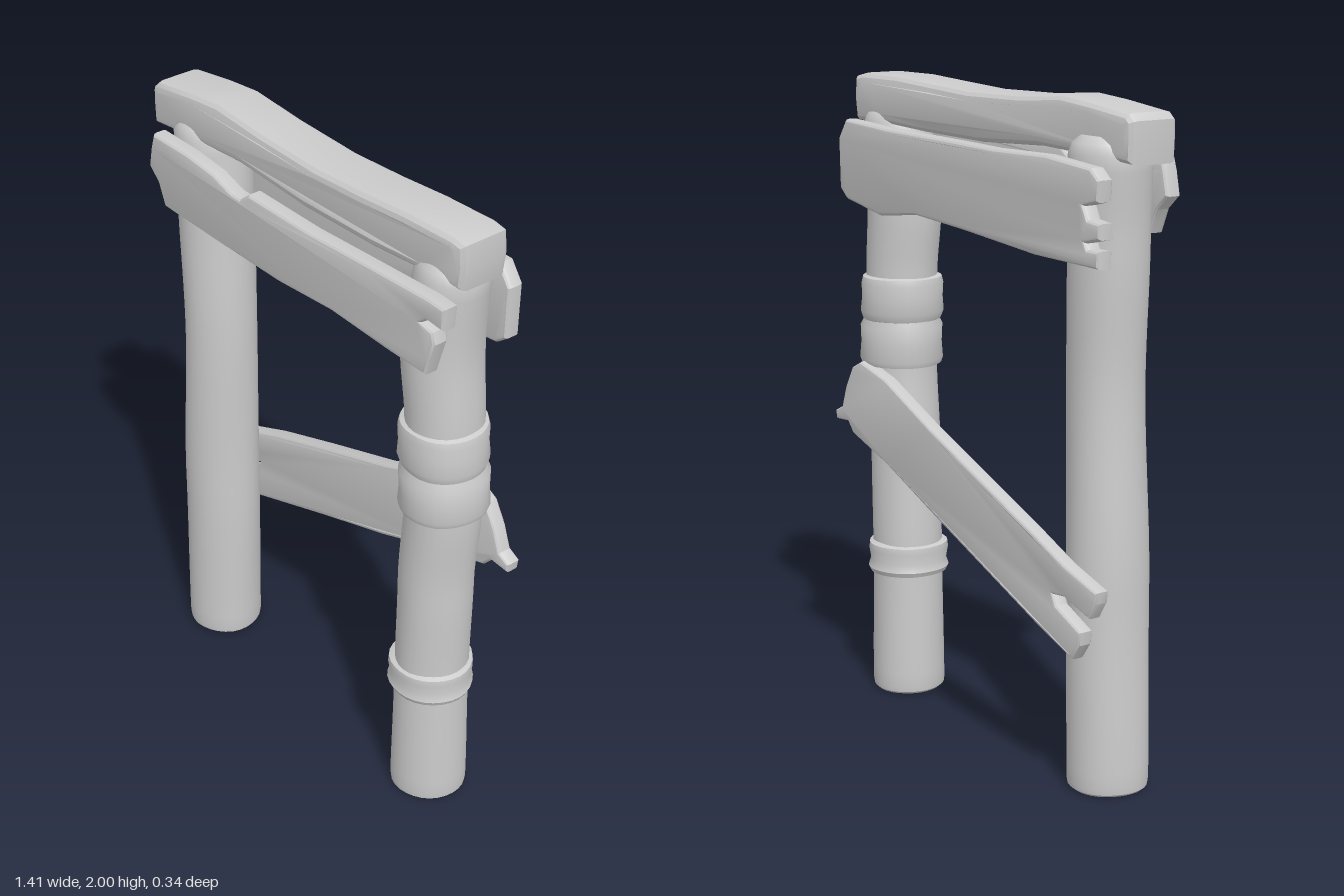
import * as THREE from 'three';
import { mergeVertices, toCreasedNormals } from 'three/addons/utils/BufferGeometryUtils.js';

const material = new THREE.MeshStandardMaterial({ color: 0xcccccc, side: THREE.DoubleSide });

function mesh(name, geometry, crease) {
  const m = new THREE.Mesh(toCreasedNormals(geometry, crease), material);
  m.name = name;
  return m;
}

// Smooth value at height y from rows of [y, x, z, r]
function sample(rows, y, k) {
  let i = 0;
  while (i < rows.length - 2 && y > rows[i + 1][0]) i++;
  const a = rows[i], b = rows[i + 1];
  return THREE.MathUtils.lerp(a[k], b[k], THREE.MathUtils.smoothstep(y, a[0], b[0]));
}

// Turned solid whose axis follows the rows and whose skin is slightly uneven
function turned(name, profile, rows, wobble, seed) {
  let g = new THREE.LatheGeometry(profile.map(([r, y]) => new THREE.Vector2(r, y)), 28);
  g.deleteAttribute('uv');
  g.deleteAttribute('normal');
  const p = g.attributes.position;
  for (let i = 0; i < p.count; i++) {
    const x = p.getX(i), y = p.getY(i), z = p.getZ(i);
    const a = Math.atan2(z, x);
    const s = 1 + wobble * (Math.sin(3 * a + seed + 2 * y) + 0.6 * Math.sin(5 * a - seed + 5 * y));
    p.setXYZ(i, x * s + sample(rows, y, 1), y, z * s + sample(rows, y, 2));
  }
  g = mergeVertices(g, 1e-4);
  return mesh(name, g, 0.7);
}

// Round post with softened ends
function post(name, rows, seed) {
  const top = rows[rows.length - 1][0], r0 = rows[0][3], r1 = rows[rows.length - 1][3];
  const profile = [[0, 0], [r0 * 0.9, 0], [r0 * 0.98, 0.008]];
  for (let i = 0; i <= 40; i++) {
    const y = 0.025 + (top - 0.075) * i / 40;
    profile.push([sample(rows, y, 3), y]);
  }
  profile.push([r1 * 0.9, top - 0.02], [r1 * 0.7, top], [0, top]);
  return turned(name, profile, rows, 0.012, seed);
}

// Board cut to an outline, with worn edges; its middle runs from z0 (x = -0.7) to z1 (x = 0.7)
function board(name, outline, thickness, bevel, z0, z1, tilt = 0) {
  const g = new THREE.ExtrudeGeometry(new THREE.Shape(outline.map(([x, y]) => new THREE.Vector2(x, y))), {
    depth: thickness - 2 * bevel, bevelEnabled: true, bevelThickness: bevel,
    bevelSize: bevel, bevelOffset: -bevel, bevelSegments: 3,
  });
  g.translate(0, 0, bevel - thickness / 2);
  const p = g.attributes.position;
  for (let i = 0; i < p.count; i++) {
    const t = (p.getX(i) + 0.7) / 1.4;
    p.setZ(i, p.getZ(i) + THREE.MathUtils.lerp(z0, z1, t) + tilt * Math.sin(t * 7));
  }
  return mesh(name, g, 0.45);
}

export function createModel() {
  const group = new THREE.Group();

  // Posts: height, centre x, centre z, radius
  const rightRows = [[0, -0.545, 0.01, 0.12], [0.6, -0.53, 0.012, 0.12], [1.2, -0.512, 0.015, 0.112],
    [1.6, -0.525, 0.01, 0.116], [1.9, -0.54, 0.0, 0.118]];
  const leftRows = [[0, 0.5, 0.01, 0.117], [0.45, 0.5, 0.012, 0.112], [0.8, 0.51, 0.015, 0.112],
    [1.1, 0.53, 0.015, 0.113], [1.35, 0.52, 0.012, 0.113], [1.6, 0.503, 0.015, 0.117], [1.9, 0.535, 0.012, 0.105]];
  group.add(post('rightPost', rightRows, 0.4), post('leftPost', leftRows, 2.1));

  // Wrappings around the left post
  const wraps = {
    lowerBand: [[0.1, 0.395], [0.123, 0.4], [0.13, 0.415], [0.122, 0.44], [0.128, 0.475], [0.126, 0.495], [0.1, 0.505]],
    middleBand: [[0.1, 1.078], [0.127, 1.083], [0.133, 1.1], [0.129, 1.15], [0.131, 1.205], [0.121, 1.225], [0.12, 1.24]],
    upperBand: [[0.1, 1.22], [0.123, 1.23], [0.132, 1.255], [0.128, 1.3], [0.13, 1.345], [0.125, 1.365], [0.1, 1.375]],
  };
  Object.entries(wraps).forEach(([name, profile], i) => group.add(turned(name, profile, leftRows, 0.013, i * 1.7)));

  // Heavy top beam
  group.add(board('topBeam', [[-0.7, 1.83], [-0.55, 1.84], [-0.3, 1.85], [0, 1.835], [0.3, 1.84], [0.5, 1.85],
    [0.64, 1.85], [0.65, 1.92], [0.645, 1.99], [0.6, 2], [0.42, 2], [0.25, 1.99], [0.05, 1.98], [-0.2, 1.985],
    [-0.4, 2], [-0.52, 1.99], [-0.68, 1.97], [-0.702, 1.95], [-0.703, 1.9]], 0.17, 0.028, 0.02, 0.005, -0.006));

  // Front plank, splintered at its left end
  group.add(board('frontPlank', [[-0.575, 1.62], [-0.3, 1.615], [-0.03, 1.608], [0.2, 1.62], [0.45, 1.61], [0.6, 1.61],
    [0.615, 1.66], [0.635, 1.72], [0.625, 1.755], [0.58, 1.765], [0.6, 1.78], [0.665, 1.775], [0.67, 1.845],
    [0.6, 1.848], [0.35, 1.835], [0.1, 1.825], [-0.16, 1.833], [-0.2, 1.803], [-0.24, 1.805], [-0.32, 1.832],
    [-0.45, 1.845], [-0.62, 1.845], [-0.635, 1.8], [-0.65, 1.73], [-0.605, 1.69]], 0.055, 0.014, 0.135, 0.14, 0.004));

  // Back plank, splintered at its right end
  group.add(board('backPlank', [[-0.7, 1.56], [-0.4, 1.562], [-0.05, 1.59], [0.2, 1.605], [0.4, 1.58], [0.6, 1.61],
    [0.64, 1.64], [0.645, 1.8], [0.6, 1.86], [0.35, 1.85], [0, 1.845], [-0.2, 1.84], [-0.45, 1.845], [-0.66, 1.83],
    [-0.7, 1.8], [-0.695, 1.74], [-0.63, 1.725], [-0.65, 1.69], [-0.705, 1.685], [-0.705, 1.64], [-0.64, 1.625],
    [-0.65, 1.61], [-0.7, 1.61]], 0.055, 0.014, -0.145, -0.115, 0.004));

  // Slanted brace across the back, forked at its lower end
  group.add(board('slantedBrace', [[-0.59, 0.43], [-0.41, 0.492], [-0.15, 0.585], [0.15, 0.69], [0.41, 0.79],
    [0.6, 0.85], [0.63, 0.885], [0.7, 0.88], [0.705, 0.91], [0.665, 0.93], [0.64, 1], [0.6, 1.07], [0.55, 1.095],
    [0.41, 1.062], [0.15, 0.955], [-0.15, 0.85], [-0.41, 0.757], [-0.55, 0.7], [-0.7, 0.655], [-0.695, 0.62],
    [-0.665, 0.57], [-0.55, 0.605], [-0.5, 0.6], [-0.515, 0.57], [-0.63, 0.52], [-0.625, 0.48]],
    0.05, 0.012, -0.14, -0.105, -0.004));

  return group;
}
